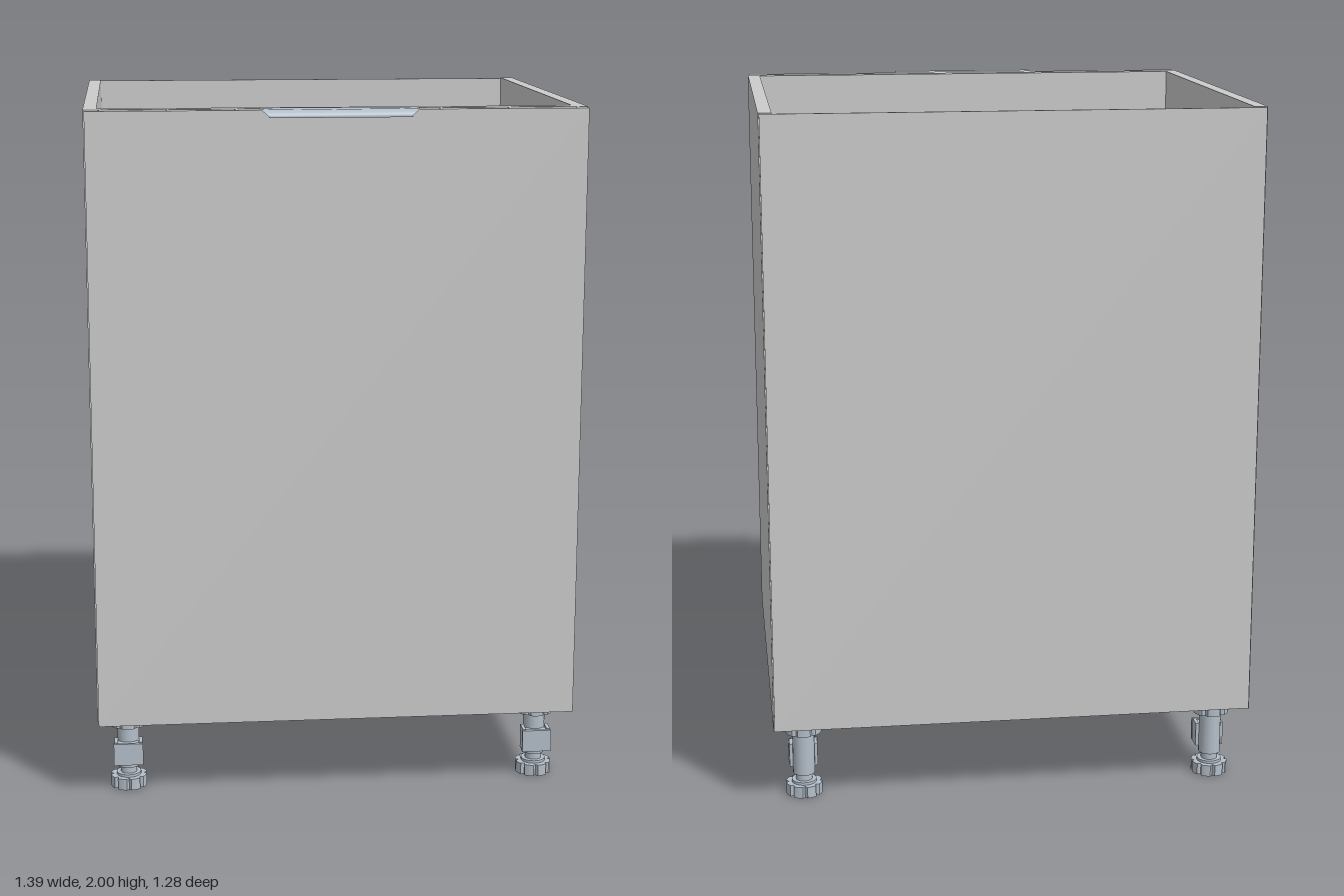
import * as THREE from 'three';

const board = new THREE.MeshStandardMaterial({ color: 0xcccccc });
const metal = new THREE.MeshStandardMaterial({ color: 0xb4bec9 });
const sheet = new THREE.MeshStandardMaterial({ color: 0xb4bec9, side: THREE.DoubleSide });

function add(parent, name, geometry, material, x = 0, y = 0, z = 0) {
  const mesh = new THREE.Mesh(geometry, material);
  mesh.name = name;
  mesh.position.set(x, y, z);
  parent.add(mesh);
  return mesh;
}

// Box given by its lowest and highest corner
function panel(parent, name, a, b, material = board) {
  const size = a.map((v, i) => b[i] - v);
  const mid = a.map((v, i) => (v + b[i]) / 2);
  return add(parent, name, new THREE.BoxGeometry(...size), material, ...mid);
}

// Lathe made of separate bands, so that the edges stay sharp
function turned(parent, name, profile) {
  for (let i = 0; i < profile.length - 1; i++) {
    const pair = [profile[i], profile[i + 1]].map(([r, y]) => new THREE.Vector2(r, y));
    add(parent, name, new THREE.LatheGeometry(pair, 24), metal);
  }
}

// Round disc with notches in its rim, lying flat
function notchedDisc(radius, inner, count, height) {
  const shape = new THREE.Shape();
  const steps = count * 6;
  for (let i = 0; i < steps; i++) {
    const a = (i / steps) * Math.PI * 2;
    const r = i % 6 === 0 ? inner : radius;
    if (i === 0) shape.moveTo(r, 0);
    else shape.lineTo(r * Math.cos(a), r * Math.sin(a));
  }
  shape.closePath();
  const g = new THREE.ExtrudeGeometry(shape, { depth: height, bevelEnabled: false });
  return g.rotateX(-Math.PI / 2);
}

function createLeg(name) {
  const leg = new THREE.Group();
  leg.name = name;
  add(leg, 'foot', notchedDisc(0.053, 0.044, 8, 0.034), metal);
  turned(leg, 'stem', [
    [0.036, 0.034], [0.036, 0.042], [0.024, 0.042], [0.024, 0.062], [0.032, 0.062],
    [0.032, 0.19], [0.038, 0.19], [0.038, 0.2],
  ]);
  add(leg, 'socket', notchedDisc(0.053, 0.046, 6, 0.03), metal, 0, 0.19);
  panel(leg, 'mountingPlate', [-0.058, 0.218, -0.055], [0.058, 0.24, 0.055], metal);
  // Plinth clip on the front of the stem
  panel(leg, 'clipPlate', [-0.043, 0.08, 0.046], [0.043, 0.146, 0.056], metal);
  for (const y of [0.083, 0.133]) {
    panel(leg, 'clipArm', [-0.03, y, 0.02], [0.03, y + 0.01, 0.048], metal);
  }
  for (const s of [-1, 1]) {
    add(leg, 'clipJaw', new THREE.BoxGeometry(0.01, 0.07, 0.045), metal, s * 0.036, 0.113, 0.026);
  }
  return leg;
}

// Bent sheet: flat on the door, curling down at the front with rounded corners
function handleGeometry() {
  const front = 0.637, radius = 0.03, corner = 0.035;
  const profile = [[0.55, 2]];
  for (let i = 0; i <= 10; i++) {
    const a = (i / 10) * Math.PI * 0.55;
    profile.push([front - radius + radius * Math.sin(a), 2 - radius * (1 - Math.cos(a)) * 0.6]);
  }
  const rows = profile.length - 1;
  const g = new THREE.PlaneGeometry(2, 1, 1, rows);
  const p = g.attributes.position;
  for (let i = 0; i < p.count; i++) {
    const [z, y] = profile[Math.floor(i / 2)];
    const d = Math.max(0, z - (front - corner));
    const inset = (corner - Math.sqrt(Math.max(0, corner * corner - d * d))) * 0.7;
    p.setXYZ(i, Math.sign(p.getX(i)) * (0.218 - inset), y, z);
  }
  g.computeVertexNormals();
  return g;
}

function createHinge(name) {
  const hinge = new THREE.Group();
  hinge.name = name;
  // Tapered arm on the side wall; shape y becomes z
  const arm = new THREE.Shape();
  arm.moveTo(-0.648, 0.37);
  arm.lineTo(-0.628, 0.37);
  arm.lineTo(-0.614, 0.51);
  arm.lineTo(-0.61, 0.55);
  arm.lineTo(-0.65, 0.55);
  arm.lineTo(-0.655, 0.44);
  arm.closePath();
  const g = new THREE.ExtrudeGeometry(arm, { depth: 0.035, bevelEnabled: false });
  add(hinge, 'hingeArm', g.rotateX(Math.PI / 2), metal, 0, 0.018);
  panel(hinge, 'wallPlate', [-0.66, -0.05, 0.41], [-0.65, 0.05, 0.46], metal);
  const cup = new THREE.CylinderGeometry(0.04, 0.04, 0.012, 24).rotateX(Math.PI / 2);
  add(hinge, 'hingeCup', cup, metal, -0.61, 0, 0.547);
  return hinge;
}

export function createModel() {
  const cabinet = new THREE.Group();
  cabinet.name = 'baseCabinet';

  // Carcass, open at the top
  const low = 0.24, top = 1.998;
  panel(cabinet, 'rightSide', [-0.696, low, -0.634], [-0.659, top, 0.55]);
  panel(cabinet, 'leftSide', [0.657, low, -0.634], [0.694, top, 0.55]);
  panel(cabinet, 'bottom', [-0.659, low, -0.634], [0.657, low + 0.037, 0.55]);
  panel(cabinet, 'backPanel', [-0.693, low + 0.003, -0.641], [0.691, top - 0.002, -0.634]);
  panel(cabinet, 'frontRail', [-0.659, 1.8, 0.51], [0.657, top, 0.55]);
  panel(cabinet, 'backRail', [-0.659, low + 0.037, -0.634], [0.657, 0.47, -0.595]);

  // Door with its hinges and edge pull
  panel(cabinet, 'door', [-0.692, low, 0.554], [0.69, 1.997, 0.592]);
  add(cabinet, 'handle', handleGeometry(), sheet);
  for (const [name, y] of [['lowerHinge', 0.48], ['upperHinge', 1.72]]) {
    const hinge = createHinge(name);
    hinge.position.y = y;
    cabinet.add(hinge);
  }

  // Adjustable legs
  for (const [side, x] of [['Right', -0.609], ['Left', 0.605]]) {
    for (const [end, z] of [['front', 0.44], ['back', -0.513]]) {
      const leg = createLeg(end + side + 'Leg');
      leg.position.set(x, 0, z);
      cabinet.add(leg);
    }
  }
  return cabinet;
}
